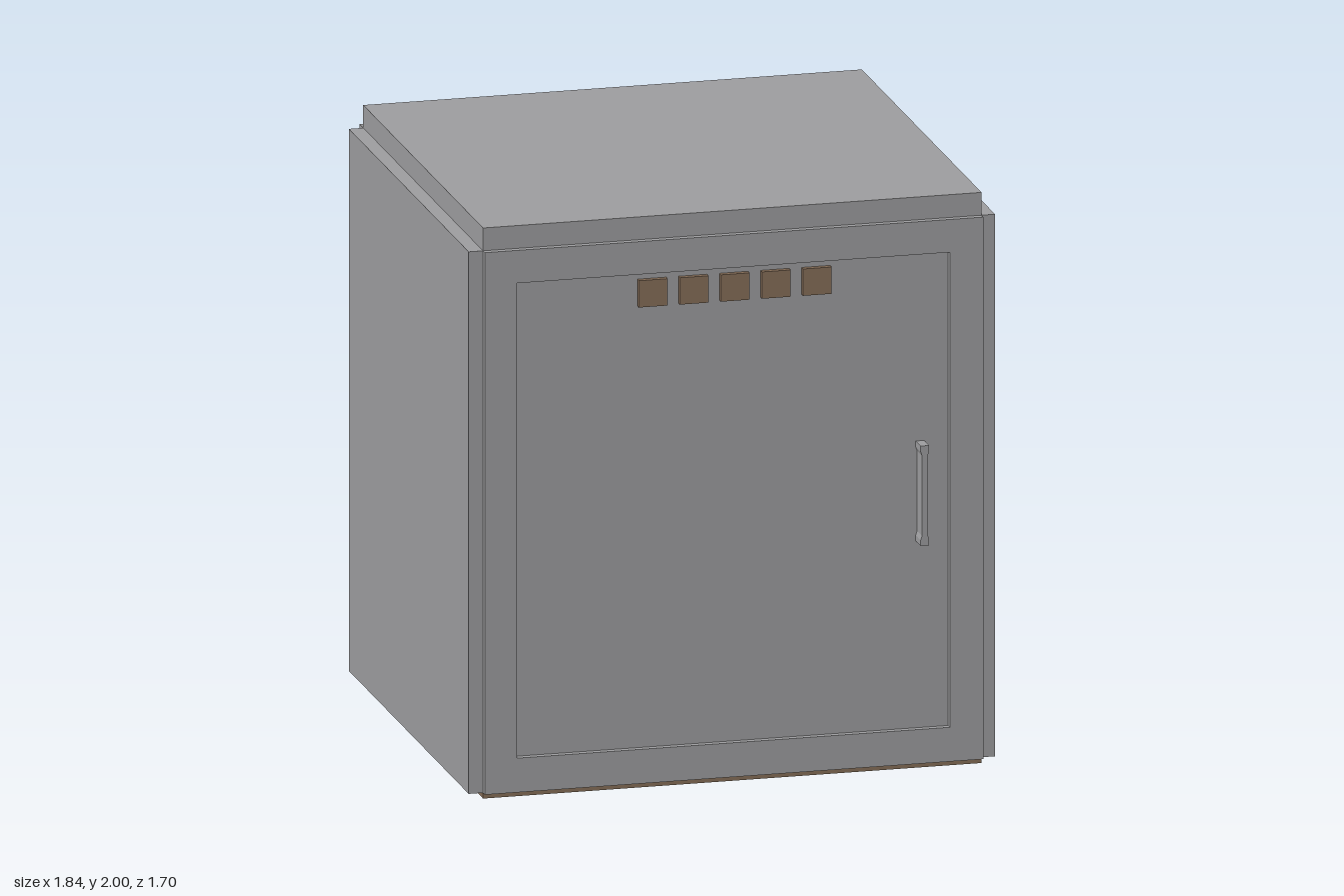
import * as THREE from 'three';

export function createModel() {
  const group = new THREE.Group();
  const steel = new THREE.MeshStandardMaterial({ color: 0x9e9ea0 });
  steel.name = 'grey steel';
  const brown = new THREE.MeshStandardMaterial({ color: 0x866e58 });
  brown.name = 'brown';

  const add = (name, geometry, material) => {
    const mesh = new THREE.Mesh(geometry, material);
    mesh.name = name;
    group.add(mesh);
    return mesh;
  };
  // Box given by its minimum and maximum corners
  const box = (name, material, [x0, y0, z0], [x1, y1, z1]) =>
    add(name, new THREE.BoxGeometry(x1 - x0, y1 - y0, z1 - z0), material)
      .position.set((x0 + x1) / 2, (y0 + y1) / 2, (z0 + z1) / 2);

  const W = 0.87, BACK = -0.8, FRONT = 0.785, LOW = 0.02, HIGH = 1.92;

  // Cabinet body on a thin brown base
  box('base', brown, [-W, 0, BACK], [W, LOW, FRONT]);
  box('body', steel, [-W, LOW, BACK], [W, 2, FRONT]);

  // Outer panels
  box('leftPanel', steel, [W, LOW, BACK], [W + 0.047, HIGH, FRONT]);
  box('rightPanel', steel, [-W - 0.05, LOW, BACK], [-W, HIGH, FRONT]);
  box('backPanel', steel, [-W, LOW, BACK - 0.048], [W, HIGH, BACK]);

  // Front frame with the door opening
  const frame = new THREE.Shape([[-W, LOW], [W, LOW], [W, HIGH], [-W, HIGH]]
    .map(p => new THREE.Vector2(...p)));
  frame.holes.push(new THREE.Path([[-0.757, 0.14], [-0.757, 1.805], [0.753, 1.805], [0.753, 0.14]]
    .map(p => new THREE.Vector2(...p))));
  add('frontFrame', new THREE.ExtrudeGeometry(frame, { depth: 0.024, bevelEnabled: false }), steel)
    .position.z = FRONT;

  // Row of vents at the top of the door
  for (let i = 0; i < 5; i++) {
    const x = 0.005 + (i - 2) * 0.143;
    box('vent' + (i + 1), brown, [x - 0.05, 1.688, FRONT], [x + 0.05, 1.782, FRONT + 0.02]);
  }

  // Door handle: slim grip with wider ends
  const half = [[0.015, 0.175], [0.015, 0.155], [0.01, 0.14]];
  const lower = half.map(([x, y]) => [x, -y]).reverse();
  const right = [...half, ...lower];
  const left = right.map(([x, y]) => [-x, y]).reverse();
  const grip = new THREE.Shape([...right, ...left].map(p => new THREE.Vector2(...p)));
  add('handle', new THREE.ExtrudeGeometry(grip, { depth: 0.065, bevelEnabled: false }), steel)
    .position.set(0.655, 0.97, FRONT);

  return group;
}
